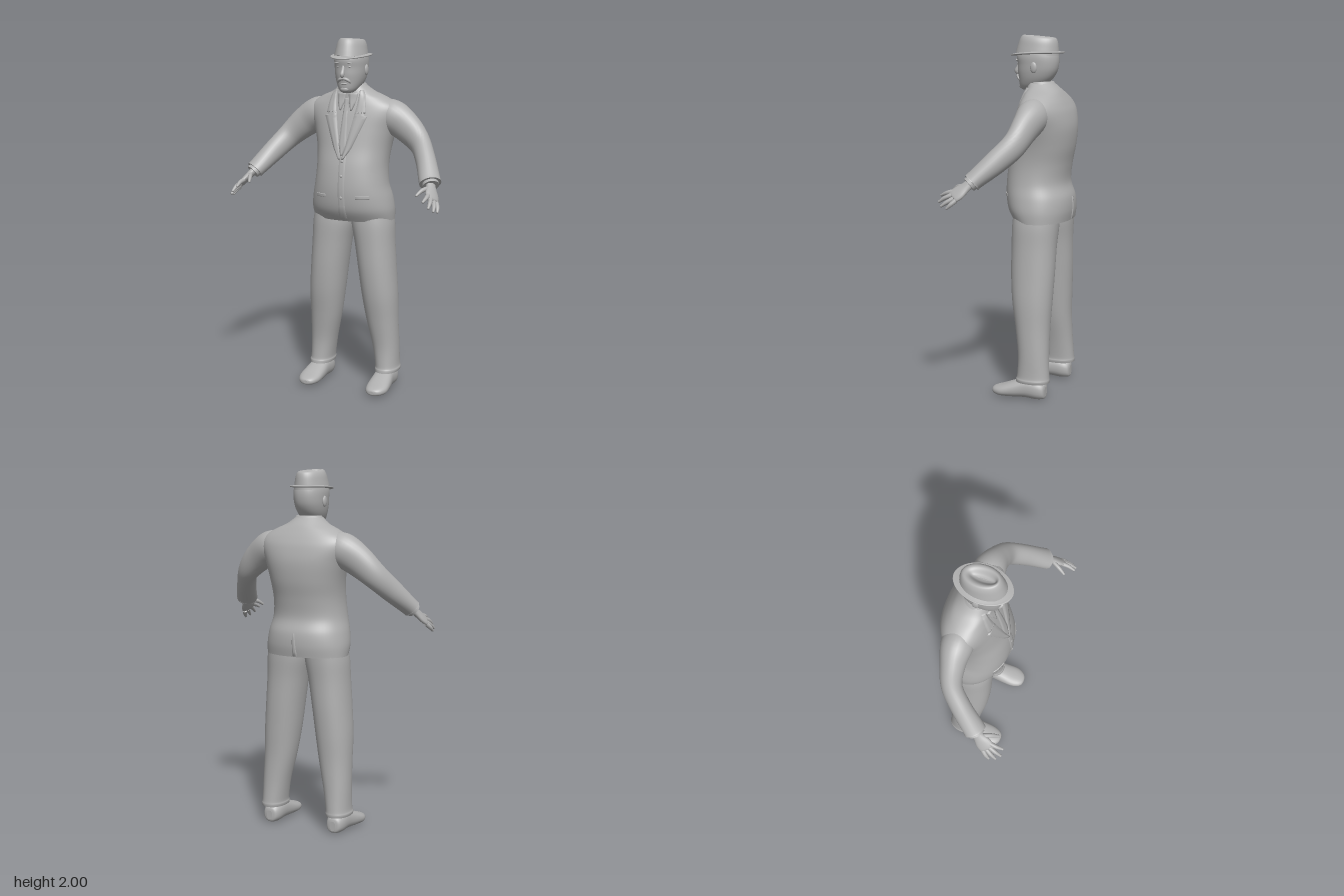
import * as THREE from 'three';

const clay = new THREE.MeshStandardMaterial({ color: 0xb0b0b0 });
clay.name = 'grey clay';
const V = (x, y, z) => new THREE.Vector3(x, y, z);

// Catmull-Rom interpolation of every column of a section table
function smooth(rows, steps = 6) {
  const out = [], last = rows.length - 1;
  for (let i = 0; i < last; i++) {
    const [a, b, c, d] = [rows[Math.max(i - 1, 0)], rows[i], rows[i + 1], rows[Math.min(i + 2, last)]];
    for (let k = 0; k < steps; k++) {
      const t = k / steps;
      out.push(b.map((p, j) => p + 0.5 * t * (c[j] - a[j] + t * (2 * a[j] - 5 * p + 4 * c[j] - d[j] + t * (3 * (p - c[j]) + d[j] - a[j])))));
    }
  }
  out.push(rows[last]);
  return out;
}

function mesh(name, geometry) {
  const m = new THREE.Mesh(geometry, clay);
  m.name = name;
  return m;
}

// Closed skin over rings of points, with flat caps
function skin(name, rings) {
  const pos = [], idx = [], n = rings[0].length;
  rings.forEach(r => r.forEach(p => pos.push(p.x, p.y, p.z)));
  for (let i = 0; i < rings.length - 1; i++) for (let j = 0; j < n; j++) {
    const a = i * n + j, b = i * n + (j + 1) % n;
    idx.push(a, b, b + n, a, b + n, a + n);
  }
  [rings[0], rings[rings.length - 1]].forEach((r, end) => {
    const start = pos.length / 3, mid = V(0, 0, 0);
    r.forEach(p => { pos.push(p.x, p.y, p.z); mid.addScaledVector(p, 1 / n); });
    pos.push(mid.x, mid.y, mid.z);
    for (let j = 0; j < n; j++) {
      const a = start + j, b = start + (j + 1) % n;
      idx.push(start + n, ...(end ? [a, b] : [b, a]));
    }
  });
  const g = new THREE.BufferGeometry();
  g.setAttribute('position', new THREE.Float32BufferAttribute(pos, 3));
  g.setIndex(idx);
  g.computeVertexNormals();
  return mesh(name, g);
}

const pw = (v, n) => Math.sign(v) * Math.pow(Math.abs(v), 2 / n);
const angles = n => Array.from({ length: n }, (_, i) => i / n * Math.PI * 2);

// Upright loft; rows are [y, centre x, half width, front z, back z]
function loft(name, rows, n = 2, sides = 40, bend = p => p) {
  return skin(name, smooth(rows).map(([y, cx, rx, zf, zb]) => angles(sides).map(a =>
    bend(V(cx + rx * pw(Math.sin(a), n), y, (zf + zb) / 2 + (zf - zb) / 2 * pw(Math.cos(a), n))))));
}

// Tapered limb along a path; rows are [x, y, z, radius across side, radius along side]
function limb(name, rows, side = V(0, 1, 0), sides = 20) {
  const s = smooth(rows), at = i => V(...s[Math.min(Math.max(i, 0), s.length - 1)].slice(0, 3));
  return skin(name, s.map(([x, y, z, r1, r2], i) => {
    const t = at(i + 1).sub(at(i - 1)).normalize();
    const u = V(0, 0, 0).crossVectors(side, t).normalize(), v = V(0, 0, 0).crossVectors(t, u);
    return angles(sides).map(a => V(x, y, z).addScaledVector(u, r1 * Math.cos(a)).addScaledVector(v, r2 * Math.sin(a)));
  }));
}

const torsoRows = [
  [0.99, 0, 0.238, 0.05, -0.255], [1.05, 0, 0.24, 0.085, -0.264], [1.12, 0, 0.23, 0.1, -0.26],
  [1.2, 0, 0.212, 0.102, -0.236], [1.3, 0, 0.205, 0.09, -0.245], [1.4, 0, 0.215, 0.066, -0.263],
  [1.5, 0, 0.24, 0.045, -0.268], [1.58, 0, 0.268, 0.025, -0.253], [1.63, 0, 0.258, 0.01, -0.232],
  [1.672, 0, 0.195, -0.002, -0.208], [1.705, 0, 0.12, -0.006, -0.185], [1.74, 0, 0.075, -0.012, -0.15]];
const torso = smooth(torsoRows, 12), torsoN = 2.2;

// Depth of the jacket surface at x, y
function jacketZ(x, y, back) {
  let i = 0;
  while (i < torso.length - 2 && torso[i + 1][0] < y) i++;
  const a = torso[i], b = torso[i + 1], t = (y - a[0]) / (b[0] - a[0]);
  const [rx, zf, zb] = [2, 3, 4].map(k => a[k] + (b[k] - a[k]) * t);
  const d = Math.pow(Math.max(0, 1 - Math.pow(Math.abs(x) / rx, torsoN)), 1 / torsoN) * (zf - zb) / 2;
  return (zf + zb) / 2 + (back ? -d : d);
}

// Raised cloth strip hugging the jacket; rows are [y, x0, x1], rising
function strip(name, rows, lift, back = false) {
  const pos = [], idx = [], cols = [0, 0.06, 0.35, 0.65, 0.94, 1], fine = [];
  rows.slice(1).forEach((r, i) => {
    for (let k = 0; k < 5; k++) fine.push(r.map((v, j) => rows[i][j] + (v - rows[i][j]) * k / 5));
  });
  fine.push(rows[rows.length - 1]);
  fine.unshift(fine[0].slice());
  fine.push(fine[fine.length - 1].slice());
  fine.forEach(([y, x0, x1], i) => cols.forEach((u, j) => {
    const x = x0 + (x1 - x0) * u, edge = j % 5 === 0 || i === 0 || i === fine.length - 1;
    pos.push(x, y, jacketZ(x, y, back) + (edge ? -0.004 : lift) * (back ? -1 : 1));
    if (i && j) {
      const d = i * 6 + j, [a, b, c] = [d - 7, d - 6, d - 1];
      idx.push(...(back ? [a, d, b, a, c, d] : [a, b, d, a, d, c]));
    }
  }));
  const g = new THREE.BufferGeometry();
  g.setAttribute('position', new THREE.Float32BufferAttribute(pos, 3));
  g.setIndex(idx);
  g.computeVertexNormals();
  return mesh(name, g);
}
const mirrorRows = (rows, s) => rows.map(([y, a, b]) => s > 0 ? [y, a, b] : [y, -b, -a]);

function ball(name, p, r, rotZ = 0) {
  const m = mesh(name, new THREE.SphereGeometry(1, 20, 14));
  m.position.set(...p);
  m.scale.set(...r);
  m.rotation.z = rotZ;
  return m;
}

export function createModel() {
  const model = new THREE.Group();
  model.name = 'man in suit and hat';
  const add = (...m) => model.add(...m);

  // Jacket, with tie, closing edge, buttons and back vent
  add(loft('jacket', torsoRows, torsoN, 56));
  add(strip('tie', [[1.36, -0.004, 0.004], [1.42, -0.024, 0.024], [1.6, -0.014, 0.014], [1.64, -0.012, 0.012], [1.67, -0.018, 0.018]], 0.007));
  add(strip('jacketClosingEdge', [[1.0, -0.02, 0.03], [1.08, -0.012, 0.03], [1.36, -0.012, 0.03]], 0.003));
  add(strip('backVent', [[0.995, -0.022, 0.004], [1.12, -0.01, 0.004]], 0.005, true));
  for (const y of [1.13, 1.25, 1.33]) add(ball('button', [0.008, y, jacketZ(0, y) + 0.003], [0.008, 0.008, 0.004]));

  // Jacket collar around the neck
  add(loft('jacketCollar', [[1.68, 0, 0.115, -0.005, -0.19], [1.705, 0, 0.1, -0.01, -0.178],
    [1.73, 0, 0.084, -0.018, -0.16], [1.748, 0, 0.072, -0.025, -0.144]], 2));

  // Neck, head and face
  add(loft('neck', [[1.66, 0, 0.062, 0, -0.125], [1.74, 0, 0.062, -0.005, -0.128], [1.8, 0, 0.065, 0.01, -0.14]]));
  add(loft('head', [[1.7, 0, 0.018, 0.022, -0.02], [1.706, 0, 0.036, 0.034, -0.05], [1.725, 0, 0.055, 0.045, -0.1],
    [1.76, 0, 0.072, 0.049, -0.14], [1.8, 0, 0.082, 0.054, -0.165], [1.84, 0, 0.086, 0.055, -0.175],
    [1.88, 0, 0.087, 0.06, -0.175], [1.92, 0, 0.08, 0.05, -0.165]], 2.2));
  add(limb('nose', [[0, 1.853, 0.048, 0.008, 0.008], [0, 1.825, 0.058, 0.01, 0.01], [0, 1.803, 0.066, 0.014, 0.012],
    [0, 1.793, 0.058, 0.012, 0.008]], V(1, 0, 0)));
  add(ball('lowerLip', [0, 1.752, 0.044], [0.02, 0.006, 0.008]), ball('chin', [0, 1.722, 0.034], [0.026, 0.016, 0.015]));

  // Hat: crown with a teardrop crease pointing forward, and brim
  const tilt = p => p.setY(p.y + (p.z + 0.055) * 0.08);
  add(loft('hatCrown', [[1.895, 0, 0.089, 0.068, -0.178], [1.93, 0, 0.082, 0.058, -0.176], [1.965, 0, 0.074, 0.046, -0.172],
    [1.986, 0, 0.063, 0.034, -0.164], [1.992, 0, 0.05, 0.024, -0.15], [1.986, 0, 0.036, 0.016, -0.132],
    [1.968, 0, 0.018, 0.005, -0.11], [1.962, 0, 0.004, -0.02, -0.08]], 2, 40, tilt));
  const curl = p => p.setY(p.y + p.x * p.x * 0.5 - (p.z + 0.055) * 0.05);
  add(loft('hatBrim', [[1.893, 0, 0.075, 0.05, -0.15], [1.893, 0, 0.102, 0.09, -0.2], [1.896, 0, 0.108, 0.1, -0.21],
    [1.9, 0, 0.107, 0.098, -0.209], [1.902, 0, 0.1, 0.085, -0.195], [1.908, 0, 0.08, 0.05, -0.16]], 1.9, 40, curl));

  for (const s of [1, -1]) {
    // Face pairs
    add(ball('ear', [s * 0.086, 1.825, -0.065], [0.01, 0.03, 0.019]));
    add(ball('eye', [s * 0.031, 1.845, 0.043], [0.013, 0.006, 0.008]));
    add(ball('eyebrow', [s * 0.033, 1.866, 0.049], [0.022, 0.005, 0.008], -s * 0.12));
    add(limb('moustache', [[0, 1.781, 0.053, 0.009, 0.008], [s * 0.018, 1.777, 0.051, 0.01, 0.009],
      [s * 0.032, 1.767, 0.044, 0.008, 0.008], [s * 0.038, 1.756, 0.037, 0.003, 0.003]]));

    // Lapels, shirt collar and pocket flaps
    add(strip('lapel', mirrorRows([[1.34, 0.002, 0.014], [1.4, 0.016, 0.052], [1.5, 0.036, 0.095], [1.575, 0.05, 0.128],
      [1.58, 0.051, 0.112], [1.6, 0.055, 0.108]], s), 0.009));
    add(strip('upperLapel', mirrorRows([[1.592, 0.055, 0.117], [1.64, 0.063, 0.112], [1.69, 0.068, 0.1], [1.715, 0.068, 0.085]], s), 0.009));
    add(strip('shirtCollar', mirrorRows([[1.605, 0.03, 0.036], [1.65, 0.014, 0.054], [1.7, 0.005, 0.062]], s), 0.009));
    add(strip('pocketFlap', mirrorRows([[1.125, 0.088, 0.165], [1.143, 0.086, 0.163]], s), 0.005));

    // Sleeve with cuff edge
    add(limb('sleeve', [[s * 0.13, 1.583, -0.115, 0.07, 0.075], [s * 0.22, 1.57, -0.113, 0.086, 0.094], [s * 0.31, 1.516, -0.104, 0.068, 0.086],
      [s * 0.4, 1.435, -0.078, 0.056, 0.07], [s * 0.465, 1.352, -0.004, 0.055, 0.062], [s * 0.522, 1.267, 0.086, 0.059, 0.05],
      [s * 0.533, 1.251, 0.102, 0.06, 0.05]], V(0, 1, 0), 28));
    add(limb('shirtCuff', [[s * 0.52, 1.268, 0.085, 0.045, 0.04], [s * 0.541, 1.24, 0.113, 0.045, 0.04]]));

    // Hand
    const spread = V(s * -0.58, 0.58, 0.58);
    add(limb('palm', [[s * 0.53, 1.255, 0.1, 0.024, 0.028], [s * 0.548, 1.228, 0.128, 0.02, 0.032],
      [s * 0.565, 1.2, 0.16, 0.018, 0.044], [s * 0.578, 1.18, 0.185, 0.014, 0.042], [s * 0.582, 1.174, 0.191, 0.006, 0.034]], spread));
    const fingers = [
      ['thumb', [0.54, 1.232, 0.14], [0.518, 1.224, 0.185], [0.502, 1.203, 0.222]],
      ['indexFinger', [0.556, 1.204, 0.19], [0.559, 1.195, 0.228], [0.555, 1.18, 0.264]],
      ['middleFinger', [0.57, 1.188, 0.19], [0.581, 1.172, 0.23], [0.585, 1.15, 0.264]],
      ['ringFinger', [0.582, 1.172, 0.18], [0.597, 1.152, 0.213], [0.605, 1.131, 0.242]],
      ['littleFinger', [0.592, 1.162, 0.166], [0.607, 1.141, 0.188], [0.614, 1.122, 0.207]]];
    for (const [name, a, b, c] of fingers) {
      const rows = [a, b, c].map(([x, y, z], i) => [s * x, y, z, [0.013, 0.0115, 0.007][i], [0.013, 0.0115, 0.007][i]]);
      add(limb(name, rows, spread, 12));
      add(ball(name + 'Tip', rows[2].slice(0, 3), [0.007, 0.007, 0.007]));
    }

    // Trouser leg with turned hem
    add(loft('trouserLeg', [[0.1, s * 0.208, 0.066, -0.014, -0.205], [0.115, s * 0.208, 0.069, -0.016, -0.207], [0.14, s * 0.206, 0.066, -0.022, -0.204],
      [0.25, s * 0.196, 0.074, -0.024, -0.198], [0.4, s * 0.178, 0.089, -0.004, -0.196], [0.55, s * 0.165, 0.1, 0.02, -0.203],
      [0.7, s * 0.15, 0.105, 0.032, -0.21], [0.85, s * 0.134, 0.111, 0.035, -0.214], [0.96, s * 0.121, 0.119, 0.036, -0.222],
      [1.03, s * 0.115, 0.115, 0.03, -0.225]], 2.2, 36));

    // Shoe: sections from heel to toe [z, centre x, half width, bottom, top]
    const shoe = smooth([[-0.187, 0.205, 0.018, 0.02, 0.075], [-0.178, 0.205, 0.04, 0.008, 0.095], [-0.14, 0.205, 0.053, 0.002, 0.115],
      [-0.07, 0.206, 0.056, 0.006, 0.12], [0, 0.21, 0.063, 0.004, 0.094], [0.06, 0.213, 0.064, 0.004, 0.07],
      [0.1, 0.212, 0.05, 0.008, 0.057], [0.12, 0.21, 0.031, 0.015, 0.048], [0.126, 0.209, 0.012, 0.022, 0.04]]);
    add(skin('shoe', shoe.map(([z, cx, rx, low, top]) => angles(28).map(a =>
      V(s * cx + rx * pw(Math.cos(a), 2.3), (top + low) / 2 + (top - low) / 2 * pw(Math.sin(a), 2.3), z)))));
  }
  return model;
}
